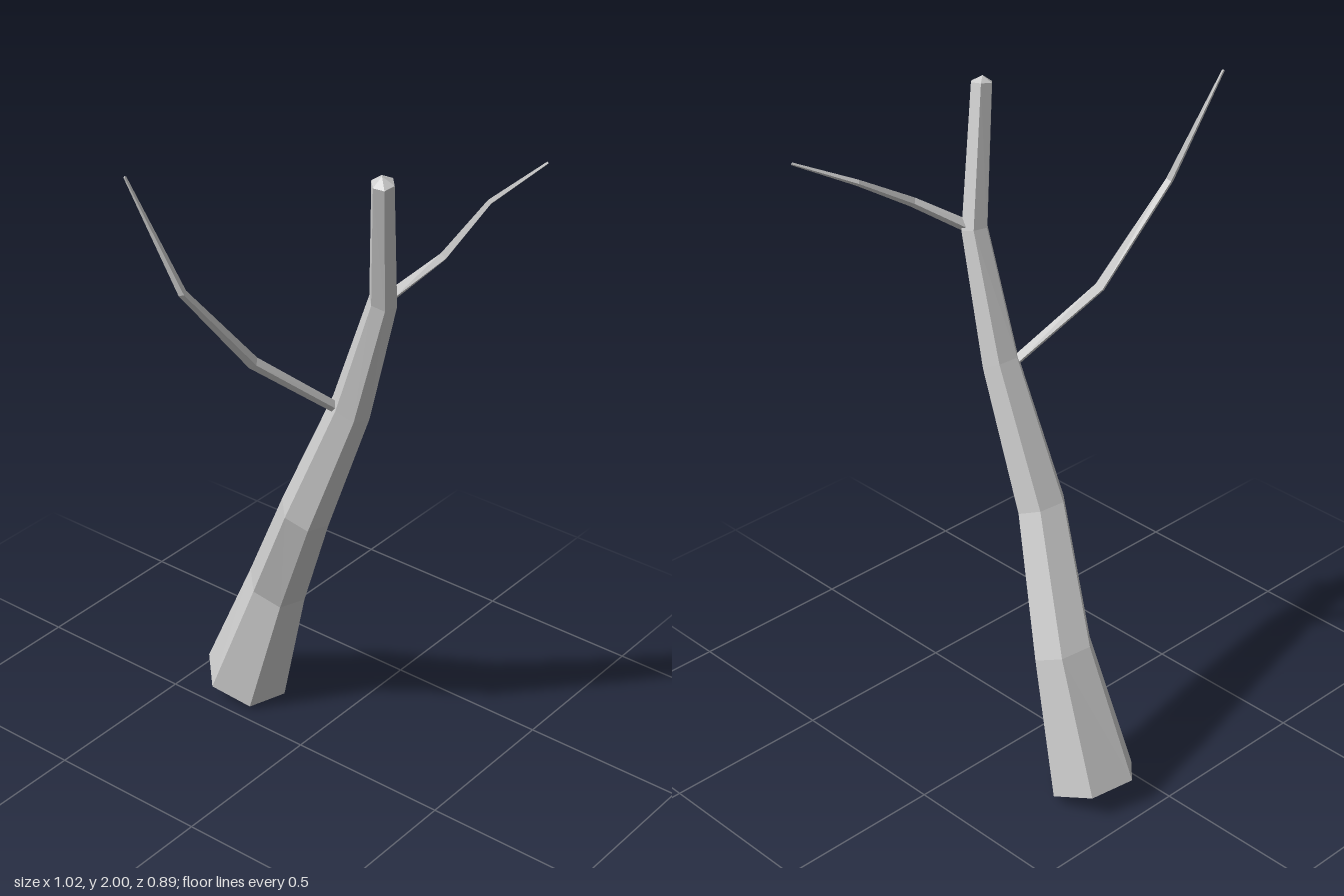
import * as THREE from 'three';

// Skin a list of equal-sized rings (ordered base to tip), closing both ends with fans.
function skinRings(rings, base, tip) {
  const pos = [];
  const tri = (...pts) => pts.forEach((p) => pos.push(p.x, p.y, p.z));
  const n = rings[0].length;
  for (let k = 0; k < n; k++) {
    const m = (k + 1) % n;
    for (let r = 0; r < rings.length - 1; r++) {
      const lo = rings[r], hi = rings[r + 1];
      tri(lo[k], hi[k], hi[m]);
      tri(lo[k], hi[m], lo[m]);
    }
    const last = rings[rings.length - 1];
    tri(base, rings[0][k], rings[0][m]);
    tri(tip, last[m], last[k]);
  }
  const geo = new THREE.BufferGeometry();
  geo.setAttribute('position', new THREE.Float32BufferAttribute(pos, 3));
  geo.computeVertexNormals();
  return geo;
}

// Six-sided trunk; each ring is tilted by its slopes along x and z.
function trunkGeometry() {
  const hex = [[-0.98, -0.23], [-0.285, -0.92], [0.715, -0.69], [0.98, 0.23], [0.285, 0.92], [-0.715, 0.69]];
  // x, y, z, radius, slope along x, slope along z
  const sections = [
    [0.137, 0.045, -0.325, 0.131, 0, -0.34],
    [0.132, 0.435, -0.195, 0.09, 0, -0.42],
    [0.044, 0.8, -0.018, 0.074, 0, -0.43],
    [0.045, 1.2, 0.143, 0.056, 0, -0.5],
    [0.031, 1.568, 0.256, 0.041, 0.1, -0.3],
    [-0.058, 1.957, 0.315, 0.033, 0.2, -0.15],
  ];
  const rings = sections.map(([x, y, z, r, sx, sz]) =>
    hex.map(([hx, hz]) => new THREE.Vector3(x + hx * r, y + r * (hx * sx + hz * sz), z + hz * r)));
  return skinRings(rings, new THREE.Vector3(0.137, 0.045, -0.325), new THREE.Vector3(-0.06, 1.976, 0.313));
}

// Thin four-sided branch following a bent path of [x, y, z, radius] points.
function branchGeometry(path) {
  const pts = path.map(([x, y, z]) => new THREE.Vector3(x, y, z));
  const up = new THREE.Vector3(0, 1, 0);
  const rings = pts.map((p, i) => {
    const t = pts[Math.min(i + 1, pts.length - 1)].clone().sub(pts[Math.max(i - 1, 0)]).normalize();
    const u = t.clone().cross(up).normalize();
    const v = t.clone().cross(u);
    return [0, 1, 2, 3].map((k) => {
      const a = -k * Math.PI / 2;
      return p.clone().addScaledVector(u, Math.cos(a) * path[i][3]).addScaledVector(v, Math.sin(a) * path[i][3]);
    });
  });
  return skinRings(rings, pts[0], pts[pts.length - 1]);
}

export function createModel() {
  const group = new THREE.Group();
  group.name = 'bareTree';
  const bark = new THREE.MeshStandardMaterial({ color: 0xcccccc });
  bark.name = 'paleGreyBark';
  bark.flatShading = true;

  const add = (name, geometry) => {
    const mesh = new THREE.Mesh(geometry, bark);
    mesh.name = name;
    group.add(mesh);
  };

  add('trunk', trunkGeometry());
  // Long branch reaching up and back on the right
  add('rightBranch', branchGeometry([
    [0.01, 1.205, 0.112, 0.016], [-0.205, 1.395, 0.002, 0.018],
    [-0.42, 1.67, -0.053, 0.012], [-0.509, 1.999, -0.157, 0.004],
  ]));
  // Shorter branch reaching out and forward on the left
  add('leftBranch', branchGeometry([
    [0.05, 1.578, 0.265, 0.018], [0.18, 1.668, 0.34, 0.014],
    [0.35, 1.772, 0.365, 0.009], [0.509, 1.853, 0.441, 0.004],
  ]));
  return group;
}
